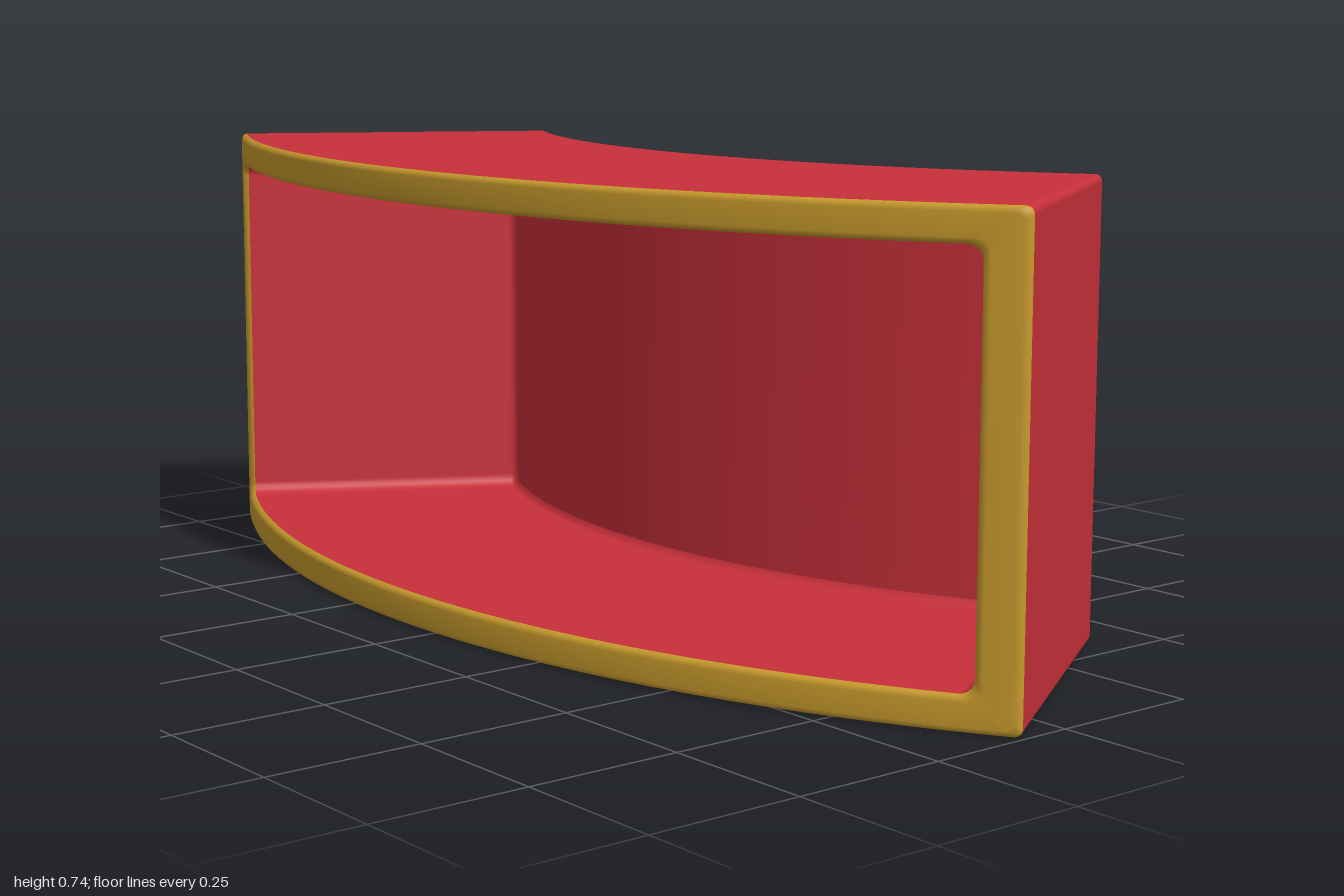
import * as THREE from 'three';

// Curved box: every section is a rounded rectangle in (angle, height), placed at a radius
const CX = -0.04, CZ = -1.525, R_IN = 1.344, R_OUT = 1.92;
const A_MIN = -Math.PI / 6, A_MAX = 0.5725, HEIGHT = 0.74;
const WALL_Y = 0.055, WALL_A = 0.036, PANEL_R = R_IN + 0.06;
const ARC = 5, SPAN = 40;

const place = (a, y, r) => [CX + r * Math.sin(a), y, CZ + r * Math.cos(a)];

// Columns [angle, low y] of a rounded rectangle; f = 0 is the outer face, f = 1 the inner face
function columns(f) {
  const a0 = A_MIN + f * WALL_A, a1 = A_MAX - f * WALL_A, y0 = f * WALL_Y;
  const ry = 0.012 + 0.01 * f, ra = ry / 1.7;
  const cols = [];
  for (let i = 0; i <= ARC; i++) {
    const t = (i / ARC) * Math.PI / 2;
    cols.push([a0 + ra * (1 - Math.cos(t)), y0 + ry * (1 - Math.sin(t))]);
  }
  const right = cols.map(([a, y]) => [a1 - (a - a0), y]).reverse();
  for (let i = 1; i < SPAN; i++) {
    cols.push([a0 + ra + (a1 - a0 - 2 * ra) * i / SPAN, y0]);
  }
  return cols.concat(right);
}

// Joins rows of points into a surface
function surface(rows, closed) {
  const n = rows[0].length, index = [];
  for (let j = 0; j < rows.length - 1; j++) {
    for (let i = 0; i < (closed ? n : n - 1); i++) {
      const k = (i + 1) % n;
      const a = j * n + i, b = j * n + k, c = a + n, d = b + n;
      index.push(a, b, d, a, d, c);
    }
  }
  const geo = new THREE.BufferGeometry();
  geo.setAttribute('position', new THREE.Float32BufferAttribute(rows.flat(2), 3));
  geo.setIndex(index);
  geo.computeVertexNormals();
  return geo;
}

// Closed loop around the section at inset f and radius r
function loop([f, r]) {
  const cols = columns(f);
  const low = cols.map(([a, y]) => place(a, y, r));
  const high = cols.map(([a, y]) => place(a, HEIGHT - y, r)).reverse();
  return low.concat(high);
}

export function createModel() {
  const red = new THREE.MeshStandardMaterial({ color: 0xc8303a, side: THREE.DoubleSide });
  red.name = 'red';
  const gold = new THREE.MeshStandardMaterial({ color: 0xc6992c, side: THREE.DoubleSide });
  gold.name = 'gold';

  const group = new THREE.Group();
  group.name = 'curvedBox';
  const add = (name, geo, mat) => {
    const mesh = new THREE.Mesh(geo, mat);
    mesh.name = name;
    group.add(mesh);
  };

  const edge = R_OUT - 0.01;
  // Outer sleeve, open at the back
  add('outerShell', surface([[0, R_IN], [0, edge]].map(loop), true), red);
  // Softly rounded front frame
  add('frontRim', surface([
    [0, edge], [0.05, R_OUT - 0.003], [0.18, R_OUT],
    [0.82, R_OUT], [0.95, R_OUT - 0.003], [1, edge],
  ].map(loop), true), gold);
  // Inner lining with a small fillet towards the back panel
  add('innerLining', surface([
    [1, edge], [1, PANEL_R + 0.012], [1.06, PANEL_R + 0.004], [1.2, PANEL_R],
  ].map(loop), true), red);
  // Curved back panel, recessed from the rear edge
  const cols = columns(1.2);
  add('backPanel', surface([
    cols.map(([a, y]) => place(a, y, PANEL_R)),
    cols.map(([a, y]) => place(a, HEIGHT - y, PANEL_R)),
  ], false), red);

  return group;
}
